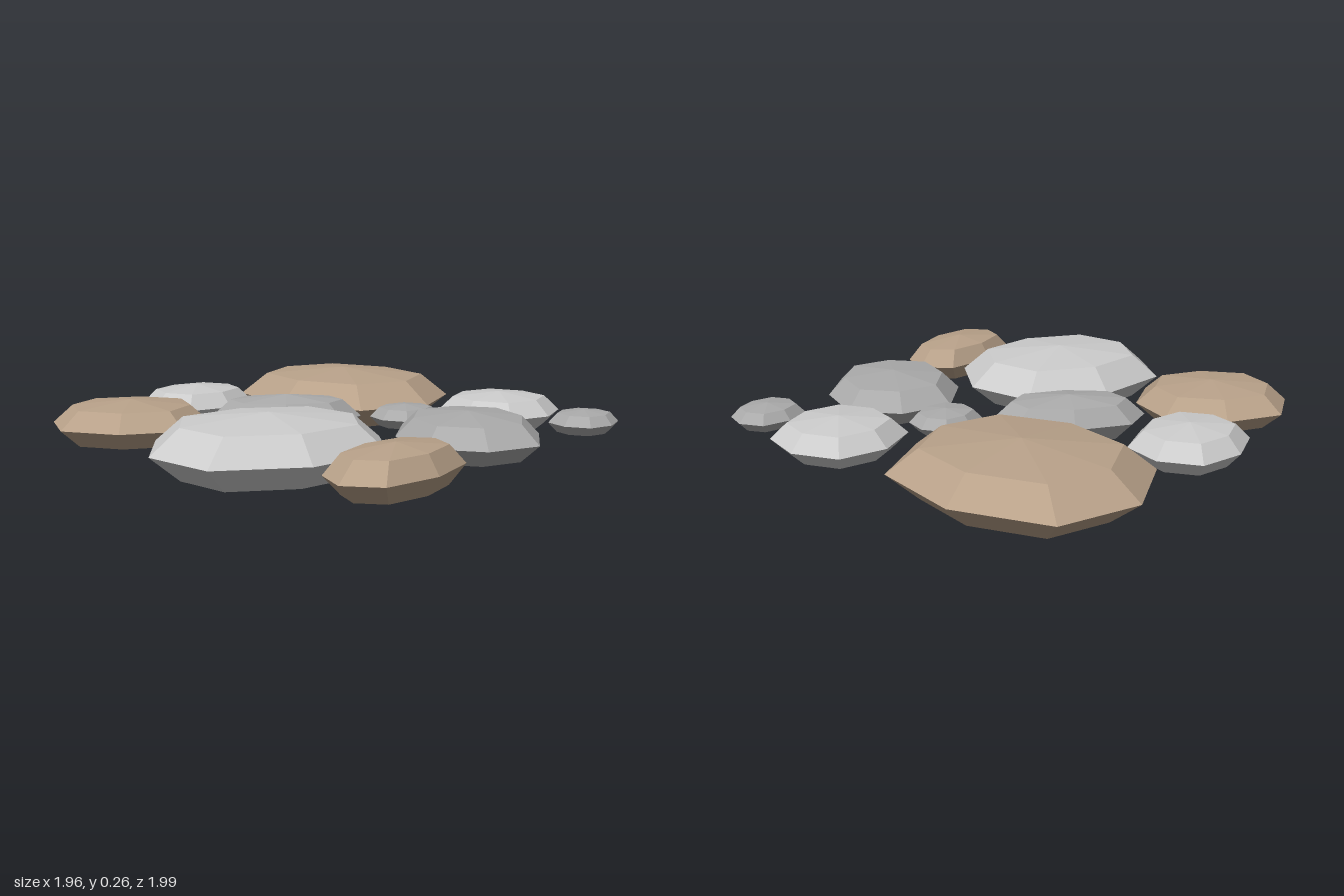
import * as THREE from 'three';

const LIGHT = 0xcccccc, DARK = 0xaaaaaa, BROWN = 0xb8a189;

// Low-poly pebble: an eight-sided sphere, slightly squared off, then scaled.
function pebbleGeometry(rx, h, rz) {
  const geo = new THREE.SphereGeometry(1, 8, 4).toNonIndexed();
  const pos = geo.attributes.position;
  const swell = v => Math.sign(v) * Math.abs(v) ** 0.83;
  for (let i = 0; i < pos.count; i++) {
    pos.setXYZ(i, swell(pos.getX(i)) * rx, swell(pos.getY(i)) * h, swell(pos.getZ(i)) * rz);
  }
  geo.computeVertexNormals();
  return geo;
}

// name, colour, centre x, centre z, radii x / y / z, turn in degrees
const STONES = [
  ['largeBrownStone', BROWN, -0.42, -0.575, 0.51, 0.132, 0.425, 0],
  ['largeLightStone', LIGHT, 0.203, 0.558, 0.468, 0.132, 0.394, 67.8],
  ['backLightStone', LIGHT, 0.395, -0.693, 0.257, 0.085, 0.257, 0],
  ['leftBackPebble', DARK, 0.825, -0.685, 0.133, 0.053, 0.155, 0],
  ['middlePebble', DARK, 0.18, -0.295, 0.135, 0.053, 0.153, 0],
  ['leftDarkStone', DARK, 0.628, -0.125, 0.335, 0.098, 0.29, -41.5],
  ['rightLightStone', LIGHT, -0.76, 0.065, 0.222, 0.085, 0.255, 0],
  ['longDarkStone', DARK, -0.2, 0.05, 0.322, 0.096, 0.18, 43],
  ['rightBrownStone', BROWN, -0.58, 0.59, 0.33, 0.098, 0.287, 41.5],
  ['leftBrownStone', BROWN, 0.796, 0.538, 0.18, 0.097, 0.313, 2.5],
];

export function createModel() {
  const group = new THREE.Group();
  group.name = 'steppingStones';
  const materials = {};
  for (const color of [LIGHT, DARK, BROWN]) {
    materials[color] = new THREE.MeshStandardMaterial({ color, flatShading: true });
  }
  // All stones share one mid-height, level with the thickest ones.
  for (const [name, color, x, z, rx, h, rz, turn] of STONES) {
    const stone = new THREE.Mesh(pebbleGeometry(rx, h, rz), materials[color]);
    stone.name = name;
    stone.position.set(x, 0.132, z);
    stone.rotation.y = THREE.MathUtils.degToRad(turn);
    group.add(stone);
  }
  return group;
}
